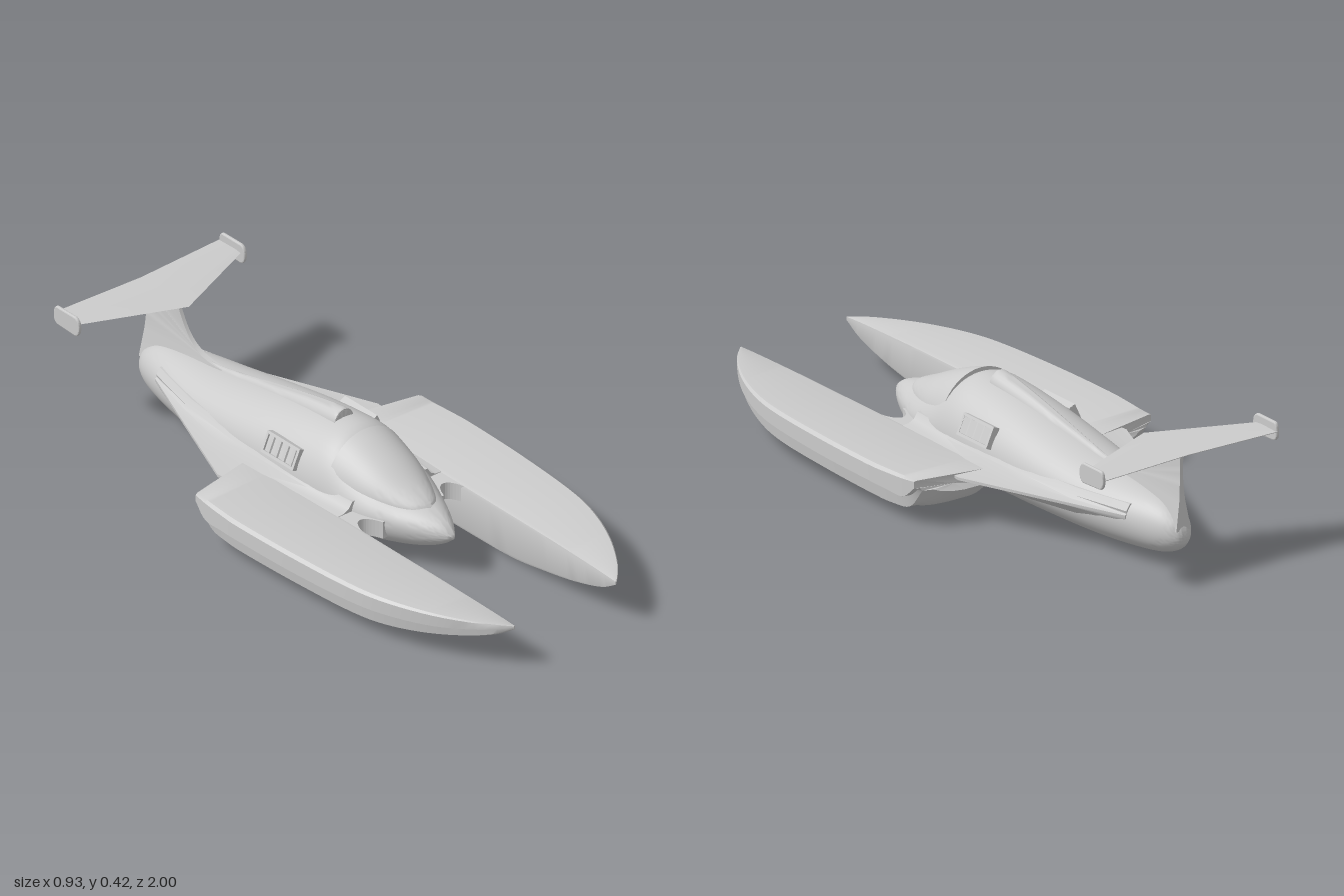
import * as THREE from 'three';
import { toCreasedNormals, mergeVertices } from 'three/addons/utils/BufferGeometryUtils.js';

const grey = new THREE.MeshStandardMaterial({ color: 0xcccccc, side: THREE.DoubleSide });

function part(name, geo, parent) {
  const m = new THREE.Mesh(geo, grey);
  m.name = name;
  parent.add(m);
  return m;
}

// Smoothly resample a table of stations
function resample(rows, count) {
  const f = new THREE.CubicInterpolant(rows.map((_, i) => i), rows.flat(), rows[0].length);
  return Array.from({ length: count + 1 }, (_, i) => [...f.evaluate((i / count) * (rows.length - 1))]);
}

// Skin closed rings (counter-clockwise seen from +z, ordered front to back) and cap the ends
function loft(rings, crease) {
  const pos = [], idx = [], n = rings[0].length;
  rings.forEach(r => r.forEach(p => pos.push(...p)));
  for (let i = 0; i < rings.length - 1; i++) {
    for (let j = 0; j < n; j++) {
      const a = i * n + j, b = i * n + (j + 1) % n;
      idx.push(a, a + n, b, b, a + n, b + n);
    }
  }
  [0, rings.length - 1].forEach((r, end) => {
    const c = pos.length / 3;
    for (let k = 0; k < 3; k++) pos.push(rings[r].reduce((s, p) => s + p[k], 0) / n);
    for (let j = 0; j < n; j++) {
      const a = r * n + j, b = r * n + (j + 1) % n;
      if (end) idx.push(c, b, a); else idx.push(c, a, b);
    }
  });
  const g = new THREE.BufferGeometry();
  g.setAttribute('position', new THREE.Float32BufferAttribute(pos, 3));
  g.setIndex(idx);
  return toCreasedNormals(g, crease);
}

// Oval ring with separate upper and lower heights
function oval(z, w, top, bottom, mid, n = 48) {
  return Array.from({ length: n }, (_, i) => {
    const a = (i / n) * Math.PI * 2, s = Math.sin(a);
    return [w * Math.cos(a), mid + s * (s > 0 ? top - mid : mid - bottom), z];
  });
}

// Flat plate from a plan outline (x, z), top face at y
function plate(shape, depth, y) {
  const g = new THREE.ExtrudeGeometry(shape, { depth, bevelEnabled: false, curveSegments: 16 });
  return g.rotateX(Math.PI / 2).translate(0, y, 0);
}

function sponson() {
  // z, outer x, deck y, upper step y, lower step y, keel y, rear sweep
  const rows = [
    [1.0, 0.205, 0.152, 0.146, 0.143, 0.14, 0], [0.93, 0.27, 0.156, 0.133, 0.112, 0.1, 0],
    [0.8, 0.352, 0.16, 0.118, 0.085, 0.06, 0], [0.65, 0.413, 0.163, 0.112, 0.065, 0.03, 0],
    [0.5, 0.443, 0.164, 0.108, 0.055, 0.009, 0], [0.25, 0.461, 0.165, 0.105, 0.052, 0.004, 0],
    [0.02, 0.467, 0.165, 0.105, 0.05, 0.005, 0], [-0.07, 0.463, 0.165, 0.102, 0.05, 0.02, 0],
    [-0.15, 0.456, 0.165, 0.1, 0.062, 0.05, 0.02], [-0.2, 0.45, 0.165, 0.14, 0.13, 0.115, 0.05],
  ];
  const rings = resample(rows, 45).map(([z, o, top, b1, b2, k, sweep]) => {
    const h = top - k, d = b2 - k;
    const pts = [
      [0, top - 0.08 * h], [0.01, top - 0.02 * h], [0.05, top], [0.96, top], [1, top - 0.06 * h],
      [1, b1], [0.93, b1 - 0.01 * h], [0.9, b2], [0.77, b2], [0.68, k + 0.5 * d],
      [0.55, k + 0.2 * d], [0.38, k + 0.05 * d], [0.06, k], [0.015, k + 0.02 * h], [0, k + 0.08 * h],
    ];
    return pts.reverse().map(([f, y]) => {
      const x = 0.2 + (o - 0.2) * f;
      return [x, y, z - sweep * THREE.MathUtils.clamp((o - x) / 0.13, 0, 1)];
    });
  });
  return loft(rings, 0.6);
}

export function createModel() {
  const model = new THREE.Group();

  // Fuselage: z, half width, top, bottom, widest height
  const hull = [
    [0.48, 0.003, 0.149, 0.141, 0.145], [0.44, 0.036, 0.18, 0.11, 0.146], [0.38, 0.072, 0.201, 0.08, 0.148],
    [0.3, 0.11, 0.218, 0.055, 0.15], [0.22, 0.143, 0.245, 0.04, 0.15], [0.12, 0.163, 0.29, 0.028, 0.15],
    [0.04, 0.172, 0.337, 0.022, 0.15], [-0.06, 0.175, 0.336, 0.02, 0.15], [-0.22, 0.174, 0.315, 0.02, 0.15],
    [-0.4, 0.164, 0.282, 0.02, 0.15], [-0.6, 0.142, 0.247, 0.022, 0.145], [-0.75, 0.112, 0.232, 0.03, 0.14],
    [-0.87, 0.078, 0.213, 0.045, 0.13], [-0.93, 0.052, 0.185, 0.065, 0.125], [-0.96, 0.026, 0.155, 0.09, 0.12],
    [-0.97, 0.004, 0.125, 0.115, 0.12],
  ];
  part('fuselage', loft(resample(hull, 75).map(r => oval(...r)), 1.2), model);

  // Canopy
  const canopy = [
    [0.37, 0.012, 0.204], [0.345, 0.047, 0.22], [0.28, 0.086, 0.25],
    [0.2, 0.12, 0.289], [0.12, 0.14, 0.322], [0.062, 0.151, 0.341],
  ];
  part('canopy', loft(resample(canopy, 24).map(([z, w, t]) => oval(z, w, t, 0.175, 0.19)), 0.9), model);

  // Intake scoop tapering into the spine
  const spine = [
    [-0.035, 0.036, 0.36], [-0.05, 0.04, 0.366], [-0.2, 0.034, 0.341],
    [-0.4, 0.024, 0.298], [-0.6, 0.015, 0.256], [-0.72, 0.008, 0.25],
  ];
  part('intakeSpine', loft(resample(spine, 25).map(([z, w, t]) => oval(z, w, t, 0.2, t - 0.045, 24)), 0.9), model);

  for (const s of [1, -1]) {
    const side = new THREE.Group();
    side.name = s > 0 ? 'leftSide' : 'rightSide';
    side.scale.x = s;
    model.add(side);

    part('sponson', sponson(), side);

    // Bridge between fuselage and sponson, with arched leading edge
    const bridge = new THREE.Shape();
    bridge.moveTo(0.05, -0.2);
    bridge.lineTo(0.26, -0.2);
    bridge.lineTo(0.26, 0.3);
    bridge.lineTo(0.205, 0.3);
    bridge.bezierCurveTo(0.19, 0.215, 0.145, 0.215, 0.122, 0.29);
    bridge.lineTo(0.05, 0.29);
    part('wingBridge', plate(bridge, 0.058, 0.162), side);

    // Rear strake filleted into the fuselage: z, tip x, root x, underside y
    const strake = [
      [0.18, 0.23, 0.158, 0.1], [0.0, 0.25, 0.17, 0.095], [-0.16, 0.31, 0.172, 0.085],
      [-0.25, 0.32, 0.17, 0.09], [-0.4, 0.26, 0.16, 0.1], [-0.6, 0.18, 0.138, 0.115], [-0.8, 0.1, 0.09, 0.13],
    ];
    part('rearStrake', loft(strake.map(([z, e, r, b]) => {
      const mid = r + 0.35 * (e - r);
      return [[0.02, b], [r, b], [mid, 0.5 * (b + 0.148)], [e, 0.152], [e, 0.161], [mid, 0.165],
        [r + 0.006, 0.174], [r - 0.008, 0.195], [0.02, 0.195]].map(([x, y]) => [x, y, z]);
    }), 0.6), side);

    // Louvred side vent
    const vent = new THREE.Group();
    vent.name = 'sideVent';
    vent.position.set(0.158, 0.235, -0.135);
    vent.rotation.z = 0.43;
    side.add(vent);
    const bar = (name, h, d, y, z, w = 0.024) =>
      part(name, new THREE.BoxGeometry(w, h, d).translate(0, y, z), vent);
    bar('ventBack', 0.068, 0.14, 0, 0, 0.01);
    for (const e of [1, -1]) {
      bar('ventRail', 0.009, 0.15, e * 0.031, 0);
      bar('ventPost', 0.07, 0.009, 0, e * 0.071);
    }
    for (let i = 0; i < 4; i++) {
      const slat = part('ventSlat', new THREE.BoxGeometry(0.006, 0.052, 0.03), vent);
      slat.position.set(0.005, 0, -0.051 + i * 0.034);
      slat.rotation.y = 0.4;
    }

    // Rounded end plate of the tailplane
    const end = new THREE.Shape();
    end.moveTo(-0.9, 0.358);
    end.lineTo(-0.98, 0.362);
    end.quadraticCurveTo(-1.0, 0.365, -1.0, 0.39);
    end.quadraticCurveTo(-1.0, 0.422, -0.985, 0.424);
    end.lineTo(-0.9, 0.424);
    end.quadraticCurveTo(-0.88, 0.418, -0.88, 0.39);
    end.quadraticCurveTo(-0.88, 0.362, -0.9, 0.358);
    const endGeo = new THREE.ExtrudeGeometry(end, {
      depth: 0.004, bevelThickness: 0.004, bevelSize: 0.004, bevelOffset: -0.004, bevelSegments: 2,
    });
    part('endPlate', endGeo.rotateY(-Math.PI / 2).translate(0.332, 0, 0), side);
  }

  // Tail fin, thickening toward its base
  const fin = new THREE.Shape();
  fin.moveTo(-0.58, 0.235);
  fin.lineTo(-0.6, 0.25);
  fin.bezierCurveTo(-0.72, 0.245, -0.76, 0.28, -0.81, 0.395);
  fin.lineTo(-0.955, 0.395);
  fin.bezierCurveTo(-0.945, 0.32, -0.955, 0.25, -0.962, 0.14);
  fin.lineTo(-0.85, 0.14);
  const finGeo = new THREE.ExtrudeGeometry(fin, { depth: 0.012, bevelEnabled: false, curveSegments: 16 });
  finGeo.translate(0, 0, -0.006).rotateY(-Math.PI / 2);
  const fp = finGeo.attributes.position;
  for (let i = 0; i < fp.count; i++) {
    const low = Math.max(0, 0.33 - fp.getY(i)) / 0.1;
    fp.setX(i, fp.getX(i) * (1 + low * low));
  }
  finGeo.deleteAttribute('normal');
  finGeo.deleteAttribute('uv');
  part('tailFin', toCreasedNormals(mergeVertices(finGeo), 0.6), model);

  // Tailplane: lens sections across the span, thin at the tips
  const plane = new THREE.Group();
  plane.name = 'tailplane';
  model.add(plane);
  const span = [[0.33, -0.9, -1.0, 0.003], [0, -0.76, -0.985, 0.006], [-0.33, -0.9, -1.0, 0.003]];
  const rings = span.map(([x, front, back, t]) => [[front, 0], [0.75 * front + 0.25 * back, t],
    [back, 0.001], [back, -0.001], [0.75 * front + 0.25 * back, -t]]
    .map(([z, y]) => [-z, y + 0.395, x]));
  part('tailplanePanel', loft(rings.map(r => r.reverse()), 0.3).rotateY(Math.PI / 2)
    .scale(1, 1, 1), plane);

  return model;
}
